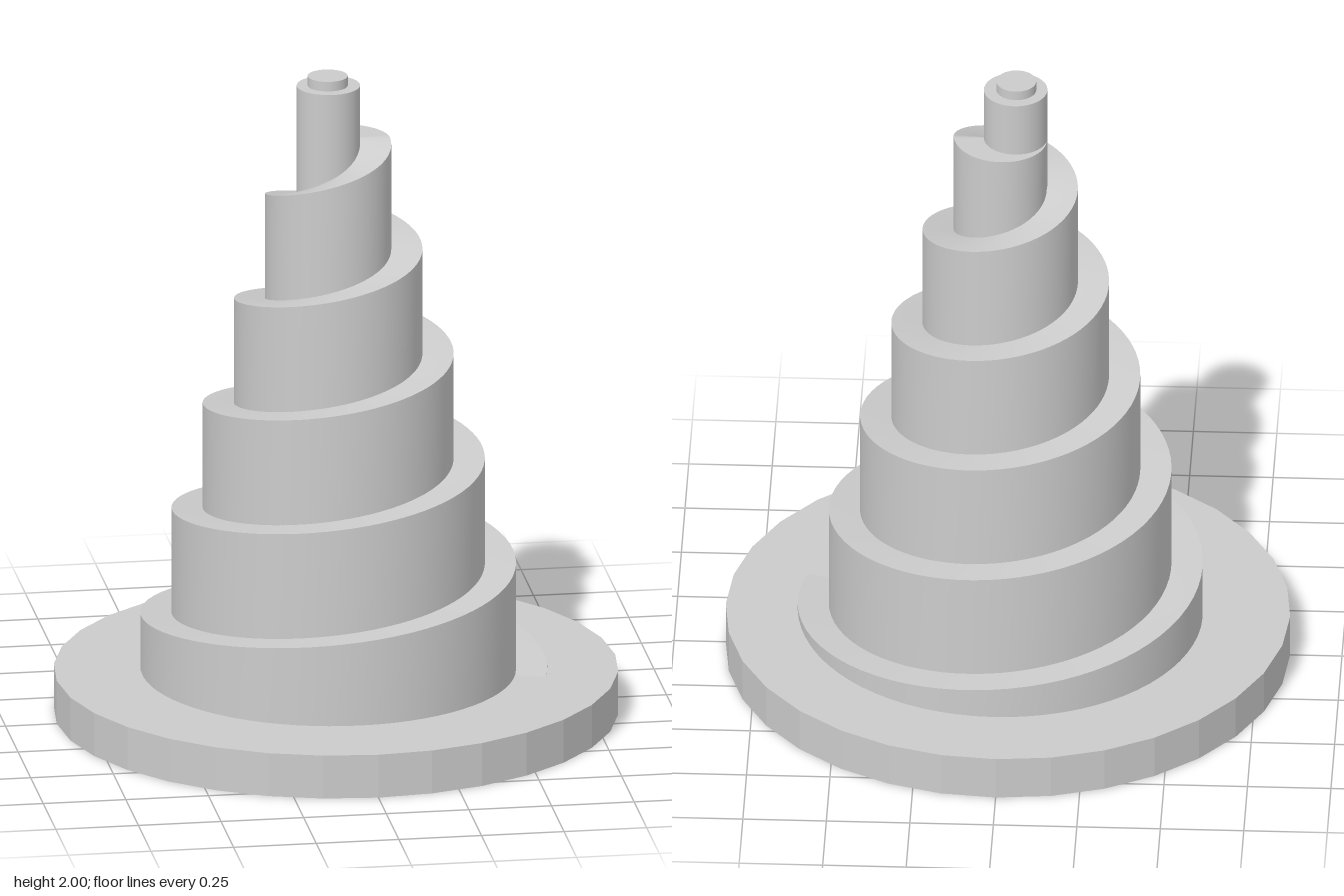
import * as THREE from 'three';

const BASE_TOP = 0.135, RAMP_TOP = 1.8;
const T0 = -0.05, T1 = 5.55, STEPS = 400; // range in turns

// Spiral rules: radius shrinks and height grows with each turn
const radius = t => 0.63 - 0.0935 * t;
const height = t => Math.min(0.15 + 0.33 * t, RAMP_TOP);

const onSpiral = (t, r, y) => {
  const a = t * Math.PI * 2;
  return [r * Math.cos(a), y, -r * Math.sin(a)];
};

// Ribbon between two edges that both follow the turn parameter
function ribbon(edgeA, edgeB) {
  const pos = [], index = [];
  for (let i = 0; i <= STEPS; i++) {
    const t = T0 + (T1 - T0) * i / STEPS;
    pos.push(...edgeA(t), ...edgeB(t));
    if (i < STEPS) {
      const k = i * 2;
      index.push(k, k + 2, k + 3, k, k + 3, k + 1);
    }
  }
  const g = new THREE.BufferGeometry();
  g.setAttribute('position', new THREE.Float32BufferAttribute(pos, 3));
  g.setIndex(index);
  g.computeVertexNormals();
  return g;
}

export function createModel() {
  const group = new THREE.Group();
  const smooth = new THREE.MeshStandardMaterial({ color: 0xcccccc, side: THREE.DoubleSide });
  const faceted = new THREE.MeshStandardMaterial({ color: 0xcccccc, flatShading: true });

  const add = (name, geometry, material = smooth) => {
    const mesh = new THREE.Mesh(geometry, material);
    mesh.name = name;
    group.add(mesh);
    return mesh;
  };
  const disc = (name, r, y0, y1, x, sides, material) =>
    add(name, new THREE.CylinderGeometry(r, r, y1 - y0, sides), material)
      .position.set(x, (y0 + y1) / 2, 0);

  // Round plinth
  disc('base', 0.845, 0, BASE_TOP, 0, 32, faceted);

  // Outer wall: rises from the ramp one turn below to the current ramp
  const floor = t => Math.min(height(t), Math.max(BASE_TOP - 0.01, height(t - 1) - 0.02));
  add('spiralWall', ribbon(
    t => onSpiral(t, radius(t), floor(t)),
    t => onSpiral(t, radius(t), height(t))));

  // Walkway: tucks slightly under the next turn's wall
  add('spiralRamp', ribbon(
    t => onSpiral(t, radius(t), height(t)),
    t => onSpiral(t, Math.max(radius(t + 1) - 0.02, 0.02), height(t))));

  // Turret and its small cap
  disc('turret', 0.095, 1.45, 1.97, -0.023, 64, smooth);
  disc('cap', 0.06, 1.95, 2, -0.025, 48, smooth);

  return group;
}
